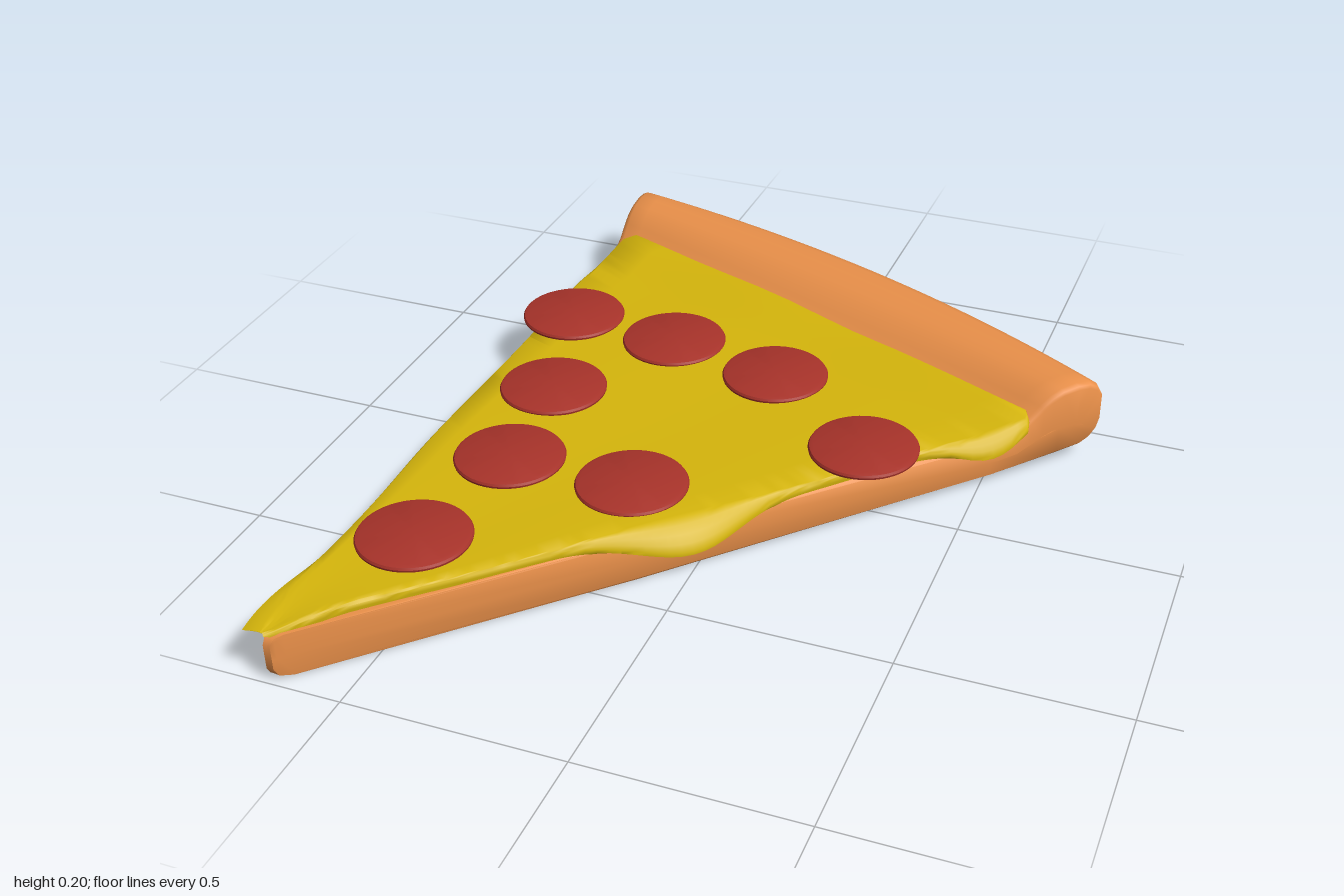
import * as THREE from 'three';
import { toCreasedNormals } from 'three/addons/utils/BufferGeometryUtils.js';

const V = (x, y, z) => new THREE.Vector3(x, y, z);
const { lerp, smoothstep } = THREE.MathUtils;
const bump = (t, centre, width) => Math.exp(-(((t - centre) / width) ** 2));

// Skin a row of closed cross-sections that share one point count
function loft(sections, crease) {
  const n = sections[0].length;
  const index = [];
  for (let i = 0; i < sections.length - 1; i++) {
    for (let j = 0; j < n; j++) {
      const k = (j + 1) % n;
      const a = i * n + j, b = a + n, c = (i + 1) * n + k, d = i * n + k;
      index.push(a, b, c, a, c, d);
    }
  }
  const geo = new THREE.BufferGeometry().setFromPoints(sections.flat());
  geo.setIndex(index);
  return toCreasedNormals(geo, crease);
}

function part(name, geometry, color) {
  const mesh = new THREE.Mesh(geometry, new THREE.MeshStandardMaterial({ color, side: THREE.DoubleSide }));
  mesh.name = name;
  return mesh;
}

// Dough: radial profiles swept from the left cut to the right cut
function doughGeometry() {
  const rear = new THREE.QuadraticBezierCurve3(V(-0.67, 0, -1), V(0.085, 0, -0.85), V(0.73, 0, -0.42));
  // [distance from the rear, height] over the crust and round underneath
  const crust = [
    [0.36, 0.11], [0.28, 0.113], [0.23, 0.124], [0.195, 0.142], [0.165, 0.168], [0.14, 0.187],
    [0.11, 0.2], [0.07, 0.205], [0.035, 0.202], [0.013, 0.19], [0, 0.165], [0, 0.07],
    [0.008, 0.042], [0.025, 0.02], [0.055, 0.007], [0.12, 0.002], [0.3, 0],
  ];
  // [position across the slice, fullness of the rounded cut edge]
  const cuts = [[0, 0], [0, 0.88], [0.003, 0.95], [0.01, 1]];
  const steps = [...cuts];
  for (let i = 1; i < 24; i++) steps.push([i / 24, 1]);
  steps.push(...cuts.map(([s, k]) => [1 - s, k]).reverse());

  const sections = steps.map(([s, k]) => {
    const end = rear.getPoint(s);
    const tip = V(-0.67 + 0.016 * s, 0, 0.99);
    const length = end.distanceTo(tip);
    const widen = 1 + 0.3 * 4 * s * (1 - s);
    const profile = [
      [length, 0.09], [length - 0.01, 0.105], [length - 0.03, 0.11], [length * 0.6, 0.11],
      ...crust.map(([d, y]) => [d * widen, y]),
      [length * 0.6, 0], [length - 0.04, 0.004], [length - 0.01, 0.012], [length, 0.03],
    ];
    return profile.map(([d, y]) => {
      const mid = lerp(0.1, 0.055, smoothstep(d, 0.12, 0.26));
      const lift = y < 0.08 ? 0.03 * s ** 5 * (1 - smoothstep(d, 0, 0.7)) : 0;
      const inset = d < 0.05 ? (1 - k) * 0.06 : 0;
      const p = end.clone().lerp(tip, (d + inset) / length);
      p.y = mid + (y + lift - mid) * k;
      return p;
    });
  });
  return loft(sections, 0.9);
}

// Cheese: a thin sheet whose edges flow past the cuts and sag
function cheeseGeometry() {
  const rows = 72;
  const sections = [];
  for (let i = 0; i <= rows + 1; i++) {
    const t = Math.min(i / rows, 1);
    const closed = i === 0 || i > rows;
    const tuck = 0.04 * smoothstep(t, 0.965, 1) ** 2;
    const left = V(lerp(-0.675, -0.64, t ** 6) + tuck, 0, lerp(0.985, -0.82, t));
    const right = V(lerp(-0.67, 0.61, t) - tuck, 0, lerp(0.985, -0.31, t) + tuck * 0.2);
    const top = 0.134 + 0.024 * smoothstep(t, 0.88, 1)
      - 0.016 * (1 - smoothstep(t, 0, 0.1)) + 0.003 * Math.sin(t * 17);
    const thick = closed ? 0.001 : 0.018;

    // overhang and sag on both cut sides
    const outR = 0.006 + 0.06 * bump(t, 0.5, 0.085) + 0.035 * bump(t, 0.92, 0.06);
    const sagR = 0.006 + 0.05 * bump(t, 0.5, 0.1) + 0.035 * bump(t, 0.92, 0.06);
    const outL = 0.002 + 0.022 * bump(t, 0.37, 0.1) + 0.028 * bump(t, 0.84, 0.07) + 0.043 * bump(t, 0.02, 0.08);
    const sagL = 0.006 + 0.03 * bump(t, 0.37, 0.1) + 0.03 * bump(t, 0.84, 0.07);

    const line = [];
    for (const e of [1, 0.85, 0.65, 0.4, 0.15]) {
      line.push(V(right.x + outR * e * 0.707, top - sagR * e * e, right.z + outR * e * 0.707));
    }
    for (let j = 0; j <= 12; j++) {
      const p = right.clone().lerp(left, j / 12);
      p.y = top + 0.002 * Math.sin(p.x * 9 + p.z * 5) * Math.sin(Math.PI * j / 12);
      line.push(p);
    }
    for (const e of [0.15, 0.4, 0.65, 0.85, 1]) {
      line.push(V(left.x - outL * e, top - sagL * e * e, left.z));
    }
    const under = line.map((p, j) => {
      const edge = j === 0 || j === line.length - 1;
      return V(p.x, p.y - thick * (edge ? 0.5 : 1), p.z);
    }).reverse();
    if (i > rows) line.forEach((p) => { p.y -= 0.018; });
    sections.push([...line, ...under]);
  }
  return loft(sections, 1);
}

export function createModel() {
  const model = new THREE.Group();
  model.name = 'pizzaSlice';
  model.add(part('doughAndCrust', doughGeometry(), 0xeb914a));
  model.add(part('cheese', cheeseGeometry(), 0xd6b60c));

  // Pepperoni: thin discs with a softened rim
  const profile = [[0, 0], [0.12, 0], [0.126, 0.003], [0.127, 0.008], [0.124, 0.013], [0.115, 0.016], [0, 0.018]]
    .map(([r, y]) => new THREE.Vector2(r, y));
  const disc = toCreasedNormals(new THREE.LatheGeometry(profile, 48), 0.7);
  const spots = [
    [-0.61, -0.375], [-0.325, -0.345], [-0.035, -0.275], [-0.51, -0.04],
    [0.26, -0.045], [-0.475, 0.265], [-0.175, 0.27], [-0.53, 0.61],
  ];
  spots.forEach(([x, z], i) => {
    const pepperoni = part(`pepperoni${i + 1}`, disc, 0xa8332a);
    pepperoni.position.set(x, 0.131, z);
    model.add(pepperoni);
  });
  return model;
}
